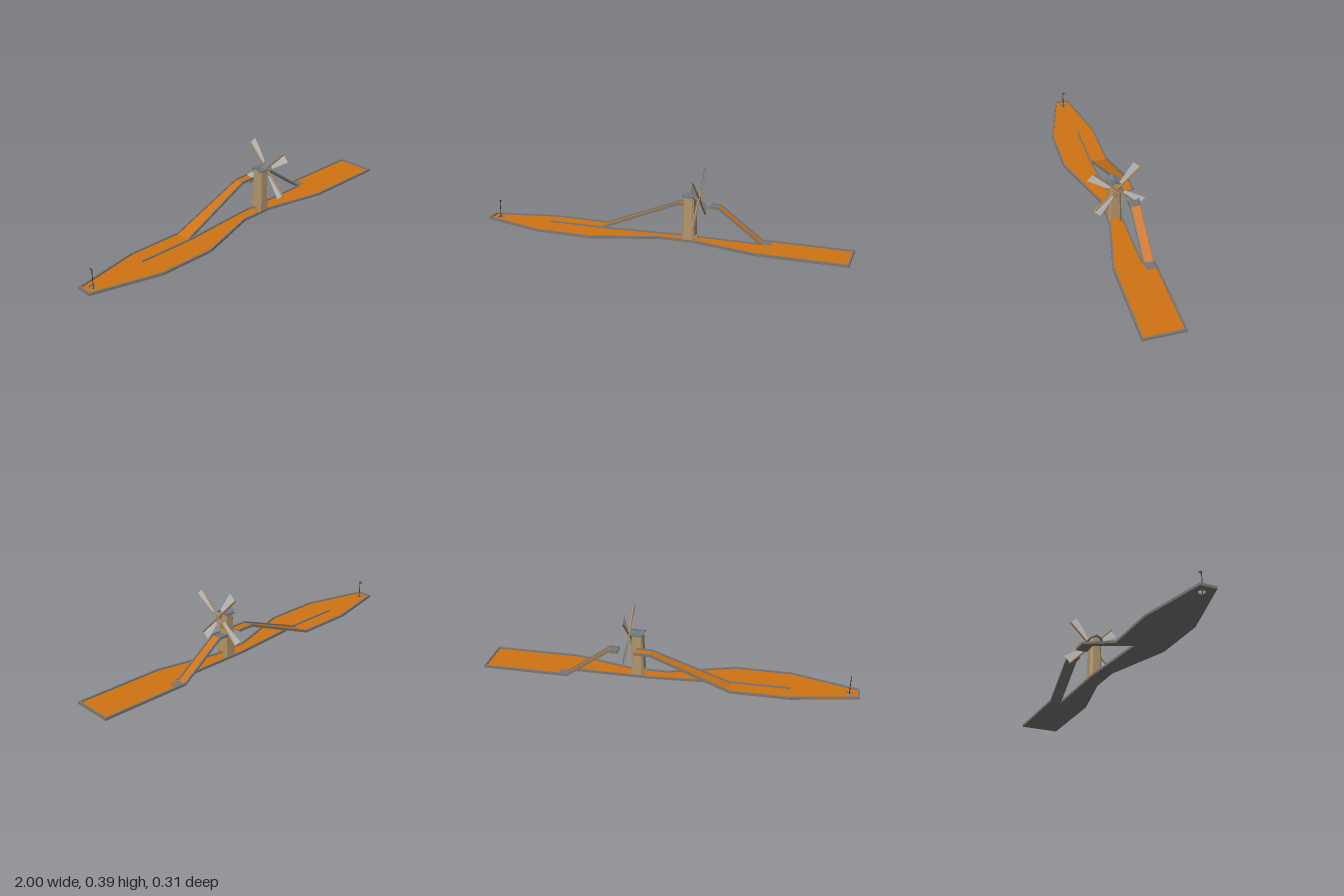
import * as THREE from 'three';

const mat = (name, color, side = THREE.FrontSide) => {
  const m = new THREE.MeshStandardMaterial({ color, side });
  m.name = name;
  return m;
};

// Joins equal-length rings of [x, y, z] points into a closed, flat-faced solid
function loft(rings) {
  const tris = [], n = rings[0].length;
  const mid = r => [0, 1, 2].map(k => r.reduce((s, p) => s + p[k], 0) / n);
  const first = rings[0], last = rings[rings.length - 1];
  for (let j = 0; j < n; j++) {
    const k = (j + 1) % n;
    for (let i = 0; i < rings.length - 1; i++) {
      const a = rings[i][j], b = rings[i][k], c = rings[i + 1][k], d = rings[i + 1][j];
      tris.push([a, b, c], [a, c, d]);
    }
    tris.push([mid(last), last[j], last[k]], [mid(first), first[k], first[j]]);
  }
  // Turn the solid right side out if its volume is negative
  const v = p => new THREE.Vector3(...p);
  const volume = tris.reduce((s, [a, b, c]) => s + v(a).dot(v(b).cross(v(c))), 0);
  if (volume < 0) tris.forEach(t => t.reverse());
  const g = new THREE.BufferGeometry();
  g.setAttribute('position', new THREE.Float32BufferAttribute(tris.flat(2), 3));
  g.computeVertexNormals();
  return g;
}

// Mitred kerb following a path of [x, y, z] points; it lies on one side of the path
function kerbGeometry(path, side, width = 0.01, low = -0.005, high = 0.008) {
  const normal = (a, b) => new THREE.Vector2(-(b[2] - a[2]), b[0] - a[0]).normalize();
  return loft(path.map((p, i) => {
    const n1 = normal(path[Math.max(i - 1, 0)], path[Math.max(i, 1)]);
    const e = path.length - 1;
    const n2 = normal(path[Math.min(i, e - 1)], path[Math.min(i + 1, e)]);
    const m = n1.clone().add(n2).normalize();
    m.multiplyScalar(side * width / m.dot(n1));
    const [x, y, z] = p;
    return [[x, y + low, z], [x + m.x, y + low, z + m.y],
      [x + m.x, y + high, z + m.y], [x, y + high, z]];
  }));
}

export function createModel() {
  const root = new THREE.Group();
  root.name = 'windmillGolfLane';
  const grey = mat('kerb grey', 0x777777);
  const orange = mat('lane orange', 0xd07212);
  const wood = mat('tower wood', 0xb0946b);
  const pale = mat('arm wood', 0xa88559);
  const slate = mat('roof slate', 0x70757a);
  const cloth = mat('sail cloth', 0xcccccc, THREE.DoubleSide);
  const dark = mat('pole dark', 0x333333);
  const flagBrown = mat('flag brown', 0x7a4a22, THREE.DoubleSide);

  const add = (name, geometry, material, parent = root) => {
    const m = new THREE.Mesh(geometry, material);
    m.name = name;
    parent.add(m);
    return m;
  };

  // Lane outline in x, z, starting where the left ramp leaves the ground
  const F = 0.01;
  const outline = [[-0.34, -0.107], [-0.645, -0.107], [-1, -0.033], [-1, 0.05],
    [-0.645, 0.15], [-0.34, 0.15], [0.015, 0.036], [0.2, 0.036], [0.53, 0.11],
    [1, 0.11], [1, -0.107], [0.53, -0.107]];
  const inner = [[0.53, -0.045], [0.08, -0.045], [-0.34, -0.012]];
  const cup = [-0.947, 0.006];

  const lane = (thickness, y) => {
    const s = new THREE.Shape([...outline, ...inner].map(([x, z]) => new THREE.Vector2(x, -z)));
    s.holes.push(new THREE.Path().absarc(cup[0], -cup[1], 0.018, 0, Math.PI * 2, true));
    return new THREE.ExtrudeGeometry(s, { depth: thickness, bevelEnabled: false, curveSegments: 16 })
      .rotateX(-Math.PI / 2).translate(0, y, 0);
  };
  add('laneSlab', lane(0.005, 0.005), grey);
  add('laneSurface', lane(0.001, F), orange);

  // Ground kerbs
  const lift = pts => pts.map(([x, z]) => [x, F, z]);
  add('outerKerb', kerbGeometry(lift(outline), -1), grey);
  add('innerKerb', kerbGeometry(lift([...inner, [-0.645, -0.012]]), -1, 0.008), grey);

  // Raised ramps: rows of x, y, inner edge z
  const ramp = (name, rows) => {
    const g = new THREE.Group();
    g.name = name;
    root.add(g);
    const strip = (low, high) => loft(rows.map(([x, y, z]) =>
      [[x, y + low, -0.107], [x, y + low, z], [x, y + high, z], [x, y + high, -0.107]]));
    add('rampSlab', strip(-0.005, 0), grey, g);
    add('rampSurface', strip(0, 0.001), orange, g);
    add('backKerb', kerbGeometry(rows.map(([x, y]) => [x, y, -0.107]), 1), grey, g);
    add('frontKerb', kerbGeometry(rows, -1, 0.008), grey, g);
  };
  ramp('leftRamp', [[-0.34, F, -0.012], [0.08, 0.178, -0.045], [0.165, 0.178, -0.045]]);
  ramp('rightRamp', [[0.25, 0.178, -0.045], [0.3, 0.178, -0.045], [0.53, F, -0.045]]);

  // Grey landing plates at both ends of the right ramp
  add('topLanding', new THREE.BoxGeometry(0.048, 0.002, 0.046), grey).position.set(0.274, 0.179, -0.075);
  add('bottomLanding', new THREE.BoxGeometry(0.05, 0.002, 0.054), grey).position.set(0.555, 0.011, -0.074);

  // Windmill
  const mill = new THREE.Group();
  mill.name = 'windmill';
  mill.position.set(0.163, 0, 0);
  root.add(mill);

  // Chamfered square ring with a ridge point on both x faces
  const ring = (h, yAt) => {
    const f = h * 0.7;
    return [[h, 0], [h, f], [f, h], [-f, h], [-h, f], [-h, 0], [-h, -f], [-f, -h], [f, -h], [h, -f]]
      .map(([x, z]) => [x, yAt(z), z]);
  };
  const half = y => 0.036 - 0.008 * (y / 0.25);
  add('tower', loft([ring(half(0.038), () => 0.038), ring(half(0.25), z => 0.264 - 0.5 * Math.abs(z))]), wood, mill);
  add('roof', loft([ring(0.037, z => 0.263 - 0.5 * Math.abs(z)), ring(0.037, z => 0.27 - 0.5 * Math.abs(z))]), slate, mill);

  // Tower sides flanking the tunnel
  for (const s of [1, -1]) {
    const leg = y => {
      const h = half(y), f = h * 0.7;
      return [[-h, 0.021], [h, 0.021], [h, f], [f, h], [-f, h], [-h, f]].map(([x, z]) => [x, y, z * s]);
    };
    add(s > 0 ? 'frontLeg' : 'backLeg', loft([leg(0.01), leg(0.038)]), wood, mill);
  }

  // Small pointed window
  const windowShape = new THREE.Shape([[-0.01, 0.167], [0.01, 0.167], [0.01, 0.188], [0, 0.196], [-0.01, 0.188]]
    .map(p => new THREE.Vector2(...p)));
  add('window', new THREE.ExtrudeGeometry(windowShape, { depth: 0.005, bevelEnabled: false })
    .rotateY(Math.PI / 2), pale, mill).position.x = 0.028;

  // Rotor: axle, hub, four arms with sails
  const rotor = new THREE.Group();
  rotor.name = 'rotor';
  rotor.position.set(0.049, 0.235, 0);
  mill.add(rotor);
  add('axle', new THREE.CylinderGeometry(0.006, 0.006, 0.03, 12).rotateZ(Math.PI / 2), pale, rotor).position.x = -0.014;
  add('hub', new THREE.CylinderGeometry(0.012, 0.012, 0.016, 16).rotateZ(Math.PI / 2), pale, rotor);
  for (let i = 0; i < 4; i++) {
    const arm = new THREE.Group();
    arm.name = 'arm' + (i + 1);
    arm.rotation.x = Math.PI / 4 + i * Math.PI / 2;
    rotor.add(arm);
    add('spar', new THREE.CylinderGeometry(0.005, 0.005, 0.168, 8), pale, arm).position.y = 0.084;
    add('sparTip', new THREE.ConeGeometry(0.005, 0.012, 8), pale, arm).position.y = 0.174;
    const sail = new THREE.Shape([[0, 0.04], [0, 0.169], [-0.049, 0.169], [-0.021, 0.04]]
      .map(p => new THREE.Vector2(...p)));
    add('sail', new THREE.ShapeGeometry(sail).rotateY(Math.PI / 2), cloth, arm);
  }

  // Flag in the cup
  add('flagPole', new THREE.CylinderGeometry(0.002, 0.002, 0.11, 8), dark).position.set(cup[0], 0.055, 0.01);
  const pennant = new THREE.Shape([[0, 0.092], [0.02, 0.101], [0, 0.11]].map(p => new THREE.Vector2(...p)));
  add('flag', new THREE.ShapeGeometry(pennant).rotateY(Math.PI / 2), flagBrown).position.set(cup[0], 0, 0.01);

  return root;
}
